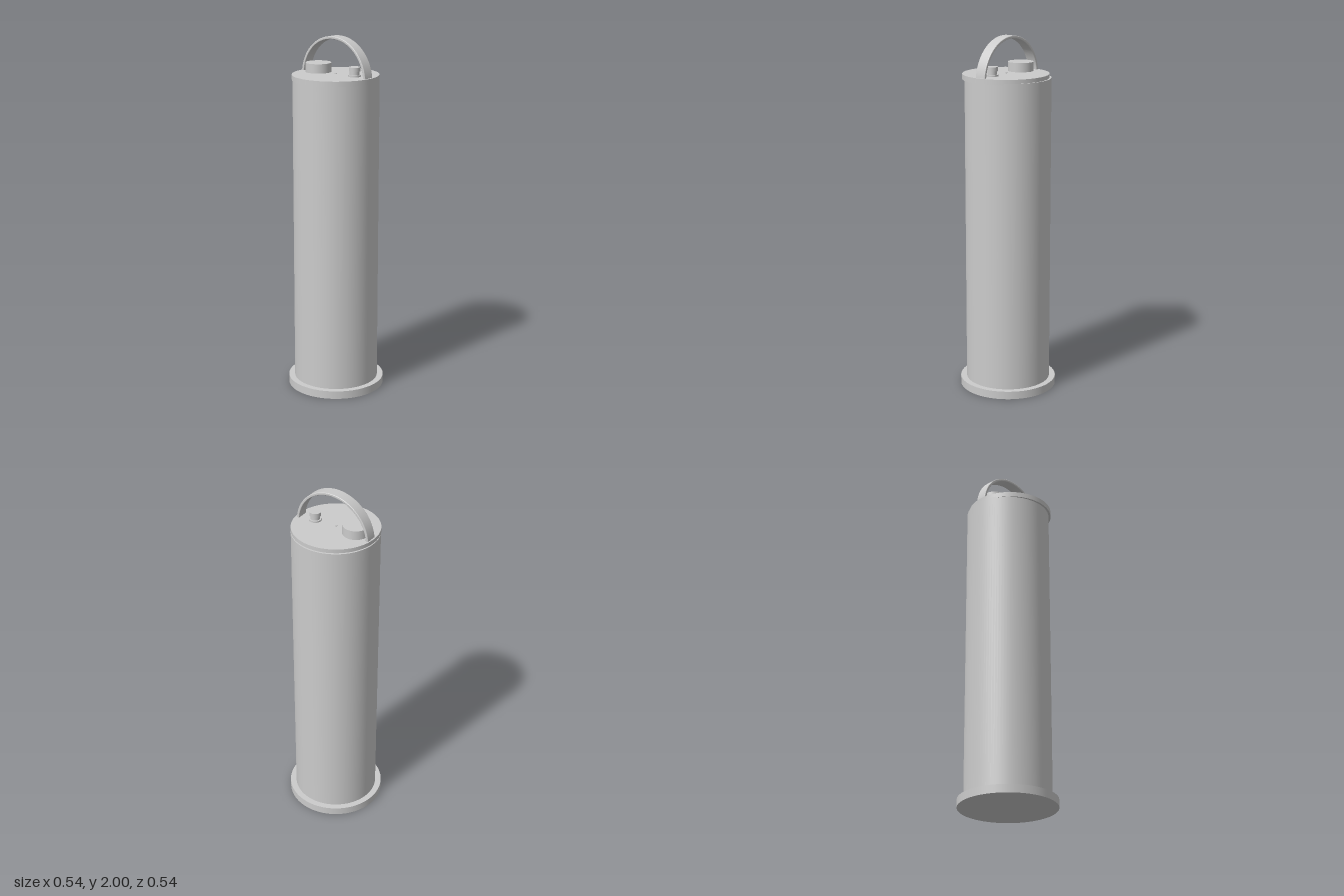
import * as THREE from 'three';

const material = new THREE.MeshStandardMaterial({ color: 0xcccccc });

export function createModel() {
  const group = new THREE.Group();

  function add(name, geometry, x = 0, y = 0, z = 0) {
    const mesh = new THREE.Mesh(geometry, material);
    mesh.name = name;
    mesh.position.set(x, y, z);
    group.add(mesh);
    return mesh;
  }

  // upright disc from y0 to y1
  function disc(name, radius, y0, y1, x = 0, z = 0, sides = 96) {
    return add(name, new THREE.CylinderGeometry(radius, radius, y1 - y0, sides), x, (y0 + y1) / 2, z);
  }

  // foot plate, tall body and slightly offset lid
  disc('basePlate', 0.271, 0, 0.045);
  disc('body', 0.237, 0.045, 1.772);
  disc('lid', 0.238, 1.765, 1.794, -0.01, 0.006);

  // fittings on the lid
  disc('largeCap', 0.071, 1.794, 1.845, -0.009, -0.12, 64);
  disc('plugFlange', 0.034, 1.794, 1.803, 0, 0.132, 48);
  disc('plugStem', 0.026, 1.803, 1.825, 0, 0.132, 48);
  disc('plugCap', 0.031, 1.822, 1.845, 0, 0.132, 48);
  disc('centrePin', 0.006, 1.794, 1.799, -0.009, 0.004, 16);

  // arched carrying handle: a half ring extruded across its width
  const outer = 0.228, inner = 0.213, bevel = 0.004, width = 0.064;
  const arch = new THREE.Shape();
  arch.absarc(0, 0, outer - bevel, 0, Math.PI, false);
  arch.absarc(0, 0, inner + bevel, Math.PI, 0, true);
  const handleGeometry = new THREE.ExtrudeGeometry(arch, {
    depth: width - 2 * bevel,
    bevelSize: bevel,
    bevelThickness: bevel,
    bevelSegments: 3,
    curveSegments: 64,
  });
  handleGeometry.translate(0, 0, -width / 2 + bevel);
  handleGeometry.rotateY(Math.PI / 2);
  add('handle', handleGeometry, 0, 2 - outer, 0.004);

  return group;
}
